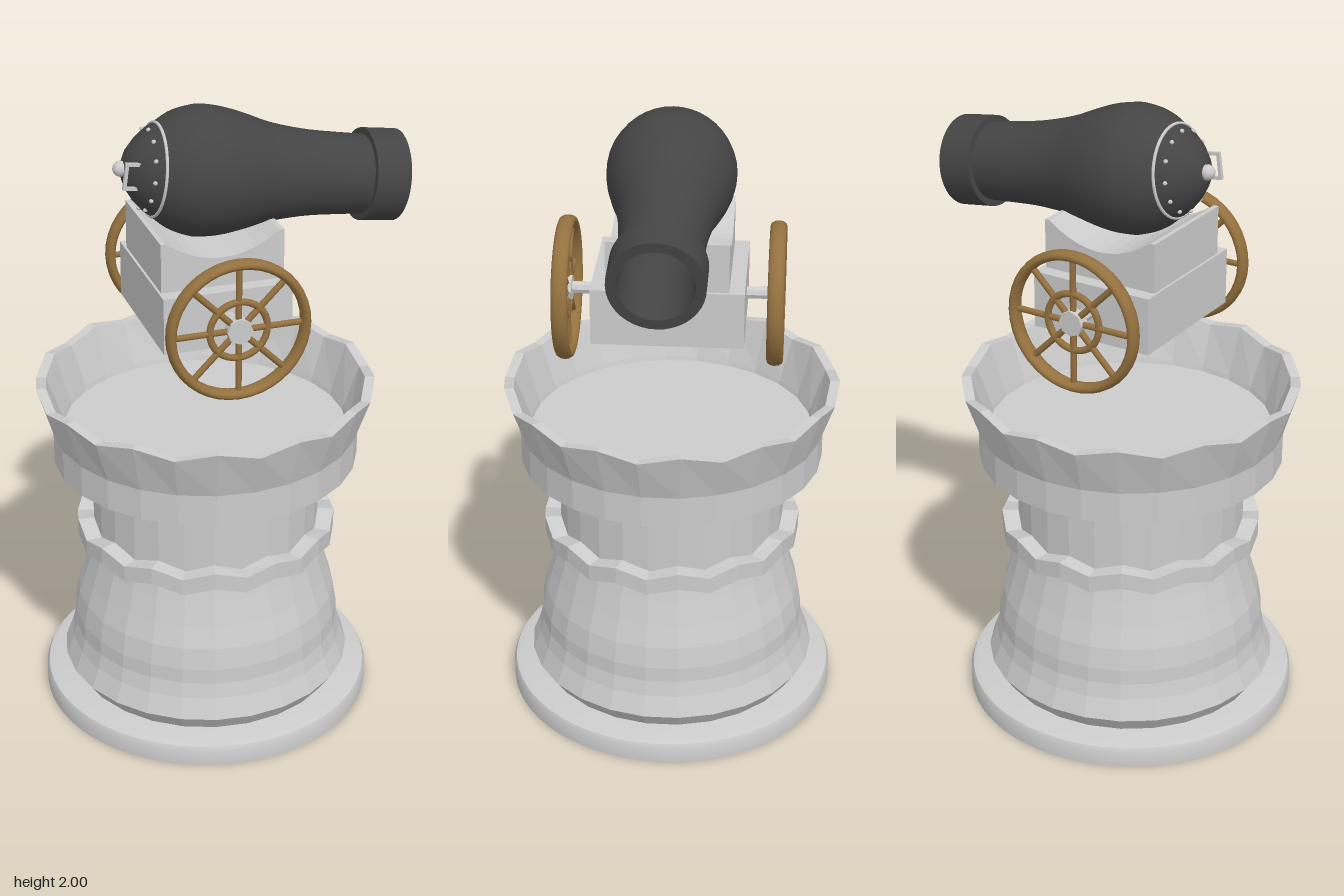
import * as THREE from 'three';
import { toCreasedNormals } from 'three/addons/utils/BufferGeometryUtils.js';

const { PI } = Math;
const SIDES = 26;
const AXIS_X = -0.048;

const mat = (color, flat = false) =>
  new THREE.MeshStandardMaterial({ color, flatShading: flat, side: THREE.DoubleSide });
const stone = mat(0xcccccc, true);
const metal = mat(0xcccccc);
const iron = mat(0x444444);
const wood = mat(0x94713f);

function add(parent, name, geometry, material, x = 0, y = 0, z = 0) {
  const mesh = new THREE.Mesh(geometry, material);
  mesh.name = name;
  mesh.position.set(x, y, z);
  parent.add(mesh);
  return mesh;
}

function lathe(profile, sides) {
  return new THREE.LatheGeometry(profile.map(([r, y]) => new THREE.Vector2(r, y)), sides);
}

// Lathe whose chosen profile points zigzag up and down around the rim
function wavyLathe(profile, wavy, amount) {
  const geo = lathe(profile, SIDES);
  const pos = geo.attributes.position;
  for (let k = 0; k < pos.count; k++) {
    const segment = Math.floor(k / profile.length);
    if (wavy.includes(k % profile.length)) {
      pos.setY(k, pos.getY(k) + (segment % 2 ? amount : -amount));
    }
  }
  return geo;
}

function buildTower() {
  const tower = new THREE.Group();
  tower.name = 'tower';
  tower.position.x = AXIS_X;

  add(tower, 'basePlate', toCreasedNormals(lathe(
    [[0, 0], [0.537, 0], [0.537, 0.05], [0.53, 0.065], [0.515, 0.07], [0, 0.07]], 64), 0.7), metal);

  add(tower, 'towerBody', lathe([
    [0.435, 0.07], [0.472, 0.125], [0.447, 0.19], [0.436, 0.24], [0.434, 0.29], [0.422, 0.36],
    [0.4, 0.43], [0.378, 0.51], [0.366, 0.56], [0.366, 0.86]], SIDES), stone);

  add(tower, 'wavyCollar', wavyLathe(
    [[0.36, 0.57], [0.418, 0.57], [0.418, 0.625], [0.36, 0.625]], [0, 1, 2, 3], 0.012), stone);

  // Flared bowl with a scalloped rim and a sunken floor
  add(tower, 'bowl', wavyLathe([
    [0, 0.853], [0.486, 0.853], [0.486, 0.955], [0.535, 1.108],
    [0.504, 1.108], [0.456, 0.96], [0.452, 0.945], [0, 0.945]], [3, 4], 0.012), stone);
  return tower;
}

function buildWheel(side) {
  const wheel = new THREE.Group();
  wheel.name = side > 0 ? 'frontWheel' : 'backWheel';
  wheel.position.set(AXIS_X, 1.42, side * 0.327);

  const rim = add(wheel, 'rim', new THREE.TorusGeometry(0.21, 0.0155, 12, 40), wood);
  rim.scale.z = 1.65;
  add(wheel, 'innerRing', new THREE.TorusGeometry(0.09, 0.011, 8, 32), wood);
  for (let i = 0; i < 8; i++) {
    const a = (i * PI) / 4;
    const spoke = add(wheel, 'spoke', new THREE.CylinderGeometry(0.01, 0.01, 0.18, 8), wood,
      Math.cos(a) * 0.115, Math.sin(a) * 0.115, 0);
    spoke.rotation.z = a - PI / 2;
  }
  const hub = add(wheel, 'hub', new THREE.CylinderGeometry(0.04, 0.04, 0.035, 8), stone);
  hub.rotation.x = PI / 2;
  return wheel;
}

function buildCarriage() {
  const carriage = new THREE.Group();
  carriage.name = 'carriage';
  add(carriage, 'carriageBase', new THREE.BoxGeometry(0.405, 0.18, 0.468), stone, AXIS_X, 1.415, 0);

  // Upper block with a curved notch that cradles the barrel
  const cradle = new THREE.Shape();
  cradle.moveTo(-0.243, 1.505);
  cradle.lineTo(0.143, 1.505);
  cradle.lineTo(0.143, 1.66);
  cradle.lineTo(0.128, 1.66);
  cradle.quadraticCurveTo(-0.05, 1.53, -0.228, 1.66);
  cradle.lineTo(-0.243, 1.66);
  const block = new THREE.ExtrudeGeometry(cradle, { depth: 0.374, bevelEnabled: false, curveSegments: 10 });
  add(carriage, 'cradle', block, stone, 0, 0, -0.187);

  const axle = add(carriage, 'axle', new THREE.CylinderGeometry(0.02, 0.02, 0.67, 8), stone, AXIS_X, 1.42, 0);
  axle.rotation.x = PI / 2;
  carriage.add(buildWheel(1), buildWheel(-1));
  return carriage;
}

// Cannon is modelled along +y (muzzle up), then tipped over towards +x
function buildCannon() {
  const cannon = new THREE.Group();
  cannon.name = 'cannon';
  cannon.position.set(-0.06, 1.803, 0);
  cannon.rotation.z = -PI / 2 - 0.14;

  const outline = new THREE.SplineCurve([
    [0.14, -0.15], [0.176, -0.095], [0.194, -0.04], [0.198, 0], [0.192, 0.06], [0.175, 0.13],
    [0.154, 0.2], [0.139, 0.28], [0.129, 0.37], [0.122, 0.53]
  ].map(([r, y]) => new THREE.Vector2(r, y))).getPoints(30).map((p) => [p.x, p.y]);
  add(cannon, 'barrel', lathe(outline, 40), iron);

  add(cannon, 'muzzle', toCreasedNormals(lathe([
    [0.118, 0.52], [0.142, 0.52], [0.142, 0.632], [0.112, 0.632], [0.108, 0.25], [0, 0.25]], 40), 0.6), iron);

  // Domed breech with riveted seam, knob and lifting handle
  add(cannon, 'breech', lathe([
    [0, -0.25], [0.03, -0.244], [0.065, -0.228], [0.1, -0.2], [0.125, -0.173], [0.14, -0.15]], 40), iron);
  const seam = add(cannon, 'breechSeam', new THREE.TorusGeometry(0.14, 0.005, 8, 40), metal, 0, -0.15, 0);
  seam.rotation.x = PI / 2;
  for (let i = 0; i < 12; i++) {
    const a = (i * PI) / 6;
    add(cannon, 'rivet', new THREE.SphereGeometry(0.007, 8, 6), metal,
      Math.cos(a) * 0.122, -0.178, Math.sin(a) * 0.122);
  }
  add(cannon, 'breechKnob', new THREE.SphereGeometry(0.024, 16, 12), metal, 0, -0.25, 0);
  for (const s of [-1, 1]) {
    add(cannon, 'handlePost', new THREE.BoxGeometry(0.01, 0.06, 0.01), metal, s * 0.037, -0.225, 0.068);
  }
  add(cannon, 'handleBar', new THREE.BoxGeometry(0.084, 0.01, 0.012), metal, 0, -0.253, 0.068);
  return cannon;
}

export function createModel() {
  const model = new THREE.Group();
  model.name = 'cannonTower';
  model.add(buildTower(), buildCarriage(), buildCannon());
  return model;
}
